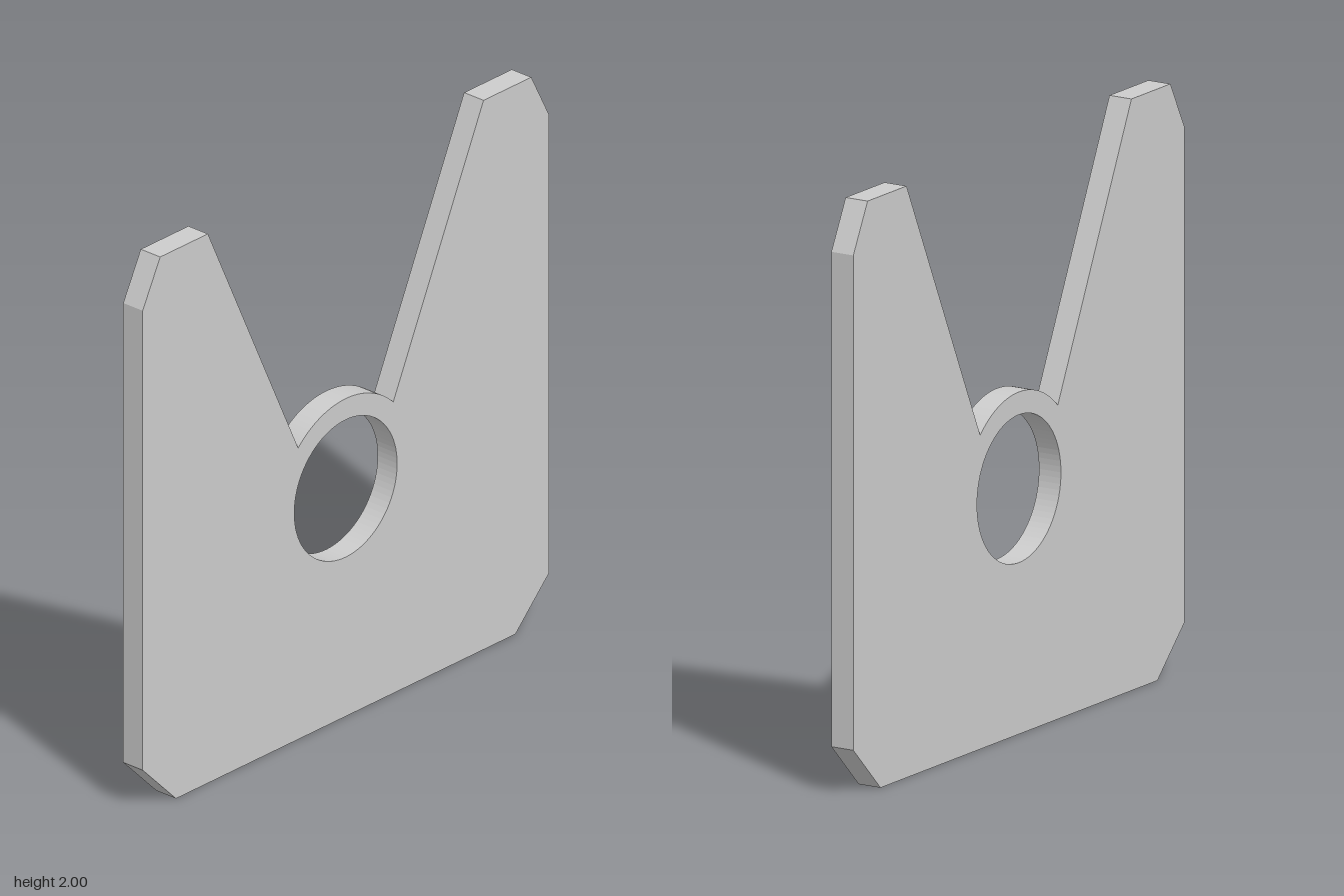
import * as THREE from 'three';

const THICKNESS = 0.086;
const HOLE_Y = 0.83;
const HOLE_RADIUS = 0.25;
const COLLAR_RADIUS = 0.327;

export function createModel() {
  const group = new THREE.Group();
  group.name = 'notchedPlate';

  // Right half of the outline, from the bottom chamfer up to the notch
  const half = [
    [0.825, 0], [0.987, 0.162], [0.987, 1.835], [0.902, 2], [0.67, 2],
  ];

  // Outline: right side, arched collar over the hole, mirrored left side
  const outline = new THREE.Shape();
  outline.moveTo(...half[0]);
  half.slice(1).forEach(([x, y]) => outline.lineTo(x, y));
  outline.absarc(0, HOLE_Y, COLLAR_RADIUS, Math.PI / 4, Math.PI * 3 / 4, false);
  [...half].reverse().forEach(([x, y]) => outline.lineTo(-x, y));
  outline.closePath();

  // Round through-hole
  const hole = new THREE.Path();
  hole.absarc(0, HOLE_Y, HOLE_RADIUS, 0, Math.PI * 2, true);
  outline.holes.push(hole);

  const geometry = new THREE.ExtrudeGeometry(outline, {
    depth: THICKNESS, bevelEnabled: false, curveSegments: 40,
  });
  geometry.translate(0, 0, -THICKNESS / 2);

  const plate = new THREE.Mesh(geometry, new THREE.MeshStandardMaterial({ color: 0xcccccc }));
  plate.name = 'plate';
  group.add(plate);
  return group;
}
